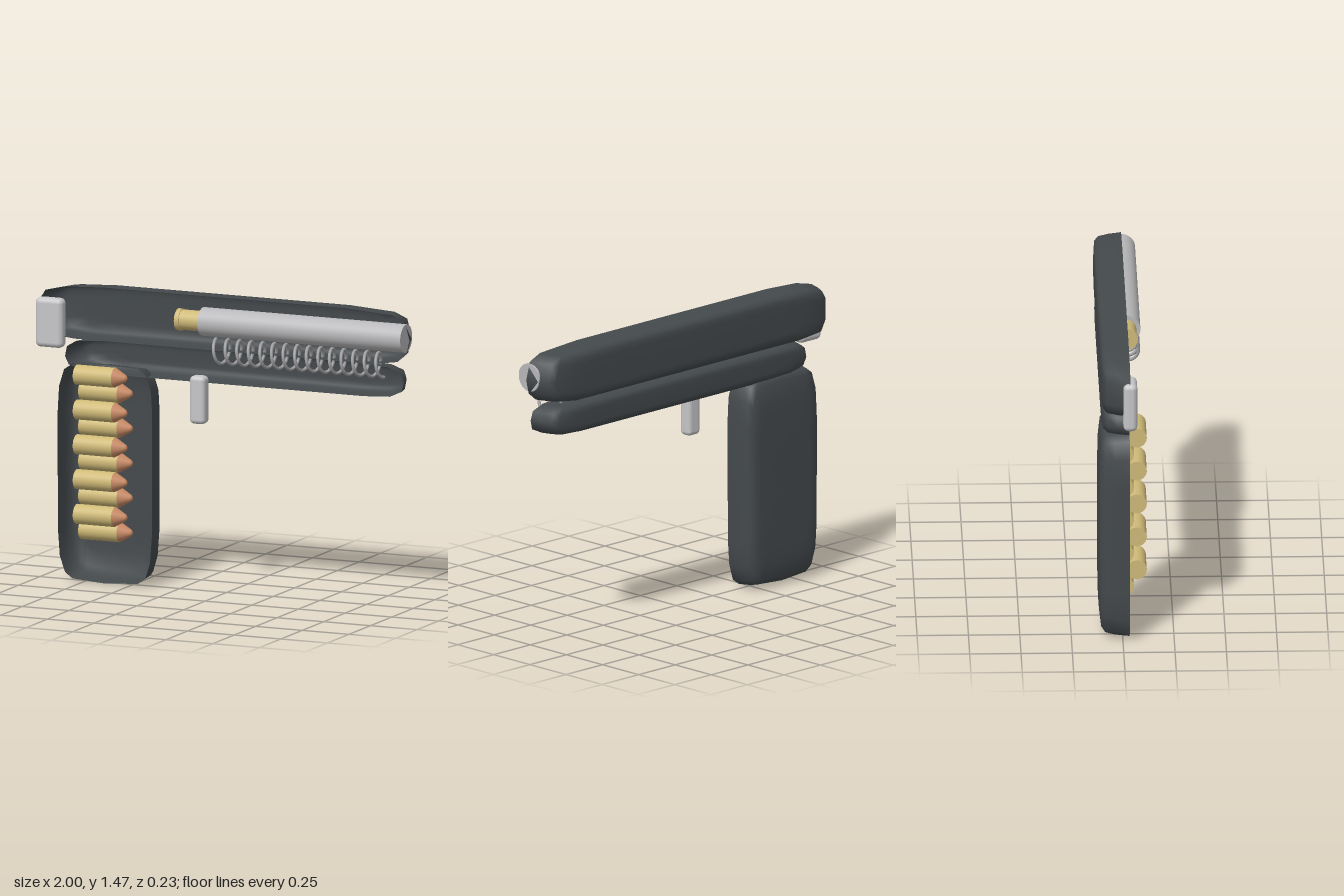
import * as THREE from 'three';
import { RoundedBoxGeometry } from 'three/addons/geometries/RoundedBoxGeometry.js';

const mat = (name, color, side = THREE.FrontSide) => {
  const m = new THREE.MeshStandardMaterial({ color, side });
  m.name = name;
  return m;
};

// Open half shell: an outline (counter-clockwise) shrinking through layers [z, insetX, insetY]
function shellGeometry(outline, layers) {
  const xs = outline.map(p => p[0]), ys = outline.map(p => p[1]);
  const x0 = Math.min(...xs), x1 = Math.max(...xs), y0 = Math.min(...ys), y1 = Math.max(...ys);
  const cx = (x0 + x1) / 2, cy = (y0 + y1) / 2, n = outline.length;
  const pos = [], idx = [];
  for (const [z, ix, iy] of layers) {
    const sx = 1 - 2 * ix / (x1 - x0), sy = 1 - 2 * iy / (y1 - y0);
    for (const [x, y] of outline) pos.push(cx + (x - cx) * sx, cy + (y - cy) * sy, z);
  }
  for (let k = 0; k < layers.length - 1; k++) {
    for (let j = 0; j < n; j++) {
      const a = k * n + j, b = k * n + (j + 1) % n;
      idx.push(a, a + n, b, b, a + n, b + n);
    }
  }
  // closed back
  const last = (layers.length - 1) * n, c = pos.length / 3;
  pos.push(cx, cy, layers[layers.length - 1][0]);
  for (let j = 0; j < n; j++) idx.push(c, last + (j + 1) % n, last + j);
  const g = new THREE.BufferGeometry();
  g.setAttribute('position', new THREE.Float32BufferAttribute(pos, 3));
  g.setIndex(idx);
  g.computeVertexNormals();
  return g;
}

// Cylinder lying along x, from x0 to x1
function rod(x0, x1, r, segments = 32) {
  const g = new THREE.CylinderGeometry(r, r, x1 - x0, segments);
  g.rotateZ(-Math.PI / 2);
  g.translate((x0 + x1) / 2, 0, 0);
  return g;
}

class Helix extends THREE.Curve {
  constructor(x0, x1, r, turns) {
    super();
    Object.assign(this, { x0, x1, r, turns });
  }
  getPoint(t, target = new THREE.Vector3()) {
    const a = t * this.turns * Math.PI * 2;
    return target.set(this.x0 + (this.x1 - this.x0) * t, this.r * Math.cos(a), this.r * Math.sin(a));
  }
}

export function createModel() {
  const root = new THREE.Group();
  const dark = mat('dark shell', 0x44494c, THREE.DoubleSide);
  const steel = mat('steel', 0xb9b9bb);
  const pale = mat('pale metal', 0xc6c6c9);
  const spring = mat('spring steel', 0xa2a2a4);
  const brass = mat('brass', 0xcfba78);
  const copper = mat('copper', 0xc98b66);

  const add = (name, geometry, material, x = 0, y = 0, z = 0, parent = root) => {
    const m = new THREE.Mesh(geometry, material);
    m.name = name;
    m.position.set(x, y, z);
    parent.add(m);
    return m;
  };

  // Hollow body halves, open towards the front
  add('slideShell', shellGeometry(
    [[0.995, 1.33], [0.97, 1.42], [0.9, 1.45], [0.65, 1.465], [-0.65, 1.465], [-0.85, 1.455],
      [-0.955, 1.43], [-0.98, 1.39], [-0.98, 1.27], [-0.95, 1.215], [-0.8, 1.2], [0.8, 1.2],
      [0.93, 1.22], [0.978, 1.26]],
    [[0.033, 0, 0], [-0.03, 0.018, 0.002], [-0.08, 0.04, 0.006], [-0.098, 0.075, 0.018],
      [-0.105, 0.18, 0.035], [-0.107, 0.26, 0.06]]), dark);
  add('frameShell', shellGeometry(
    [[0.965, 1.12], [0.95, 1.165], [0.88, 1.19], [0.7, 1.2], [-0.65, 1.2], [-0.79, 1.19],
      [-0.84, 1.16], [-0.85, 1.11], [-0.83, 1.07], [-0.75, 1.045], [-0.6, 1.037], [0.75, 1.037],
      [0.89, 1.045], [0.955, 1.075]],
    [[0.033, 0, 0], [-0.03, 0.015, 0.002], [-0.075, 0.035, 0.006], [-0.094, 0.07, 0.018],
      [-0.1, 0.16, 0.03], [-0.102, 0.24, 0.045]]), dark);
  add('gripShell', shellGeometry(
    [[-0.385, 0.25], [-0.383, 0.85], [-0.39, 0.97], [-0.415, 1.045], [-0.46, 1.075], [-0.64, 1.082],
      [-0.81, 1.075], [-0.855, 1.045], [-0.882, 0.96], [-0.89, 0.82], [-0.888, 0.25], [-0.878, 0.12],
      [-0.85, 0.04], [-0.81, 0.012], [-0.64, 0], [-0.46, 0.012], [-0.42, 0.04], [-0.395, 0.12]],
    [[0.033, 0, 0], [-0.04, 0.004, 0.008], [-0.085, 0.014, 0.018], [-0.105, 0.032, 0.045],
      [-0.115, 0.055, 0.13], [-0.117, 0.09, 0.22]]), dark);

  // Barrel with a round at its rear
  add('barrel', rod(-0.11, 0.977, 0.07, 40), steel, 0, 1.34, 0.033);
  add('chamberedCase', rod(-0.235, -0.1, 0.05), brass, 0, 1.34, 0.033);
  add('chamberedRim', rod(-0.243, -0.22, 0.054), brass, 0, 1.34, 0.033);

  // Recoil spring
  add('recoilSpring', new THREE.TubeGeometry(new Helix(-0.04, 0.86, 0.06, 14.5), 400, 0.008, 8),
    spring, 0, 1.2, 0.036);

  // Hammer and trigger blocks
  add('hammer', new RoundedBoxGeometry(0.146, 0.245, 0.068, 4, 0.026), pale, -0.927, 1.272, 0.033);
  add('trigger', new RoundedBoxGeometry(0.082, 0.237, 0.07, 4, 0.022), pale, -0.13, 0.952, 0.036);

  // Staggered stack of cartridges
  const R = 0.049;
  const caseGeo = rod(-0.77, -0.565, R);
  const tipGeo = new THREE.LatheGeometry(
    [[R, 0], [0.017, 0.057], [0.01, 0.063], [0, 0.066]].map(p => new THREE.Vector2(...p)), 28);
  tipGeo.rotateZ(-Math.PI / 2);
  tipGeo.translate(-0.566, 0, 0);
  for (let i = 0; i < 10; i++) {
    const cartridge = new THREE.Group();
    cartridge.name = 'cartridge' + (i + 1);
    cartridge.position.set(0, 0.255 + i * 0.0862, i % 2 ? 0.069 : 0.006);
    add('case', caseGeo, brass, 0, 0, 0, cartridge);
    add('tip', tipGeo, copper, 0, 0, 0, cartridge);
    root.add(cartridge);
  }
  return root;
}
